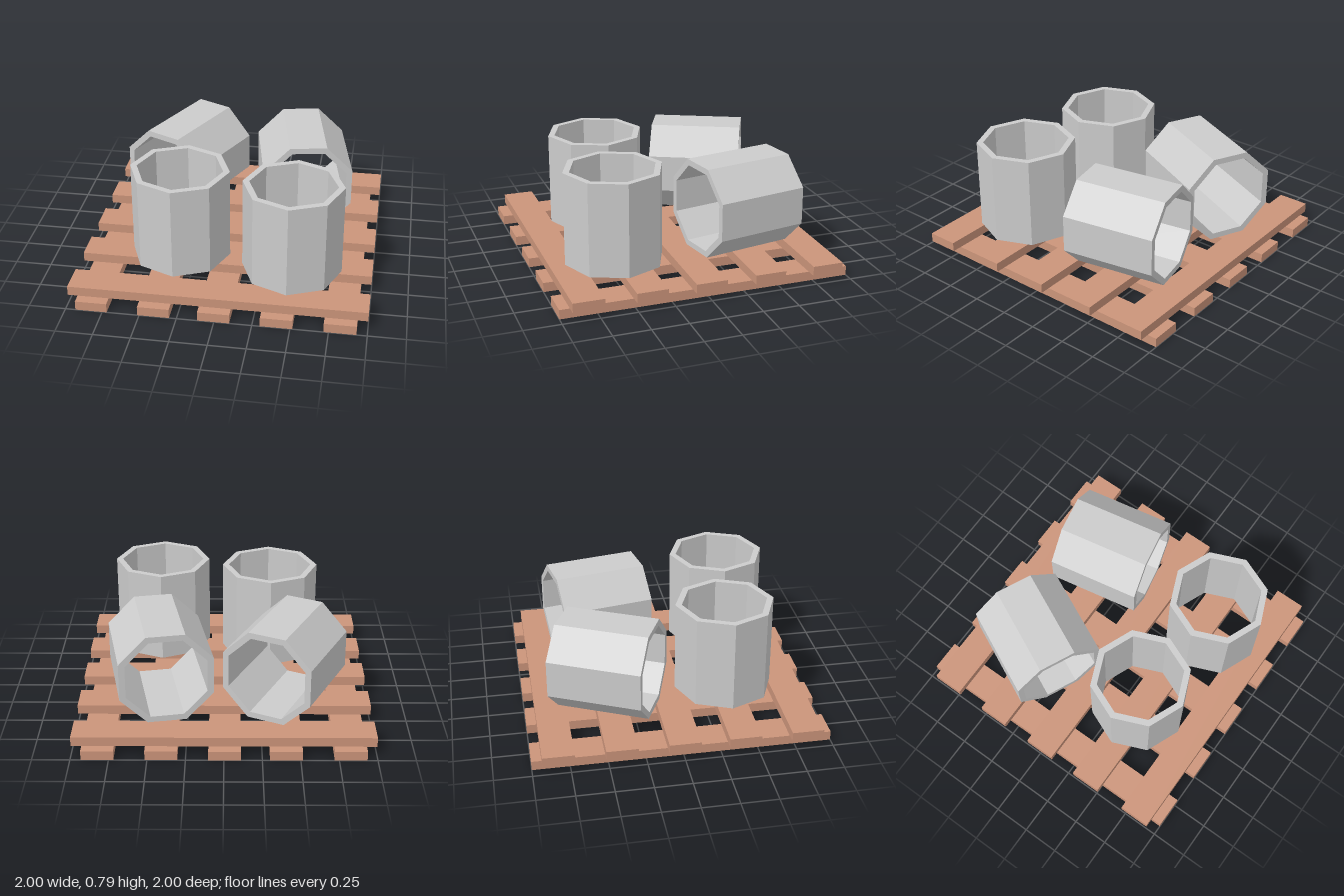
import * as THREE from 'three';

const RADIUS = 0.34, INNER = 0.295, LENGTH = 0.645;

// Regular octagon outline, starting at the given angle
function octagon(radius, start) {
  return Array.from({ length: 8 }, (_, i) => {
    const a = start + (i * Math.PI) / 4;
    return new THREE.Vector2(Math.cos(a) * radius, Math.sin(a) * radius);
  });
}

// Open octagonal tube, centred on the origin with its axis along z
function tubeGeometry(start) {
  const shape = new THREE.Shape(octagon(RADIUS, start));
  shape.holes.push(new THREE.Path(octagon(INNER, start)));
  const geometry = new THREE.ExtrudeGeometry(shape, { depth: LENGTH, bevelEnabled: false });
  return geometry.translate(0, 0, -LENGTH / 2);
}

export function createModel() {
  const model = new THREE.Group();
  const wood = new THREE.MeshStandardMaterial({ color: 0xcb947a, flatShading: true });
  const concrete = new THREE.MeshStandardMaterial({ color: 0xcccccc, flatShading: true });

  function add(parent, name, geometry, material, x, y, z) {
    const mesh = new THREE.Mesh(geometry, material);
    mesh.name = name;
    mesh.position.set(x, y, z);
    parent.add(mesh);
    return mesh;
  }

  // Pallet: five runners along z, five deck boards across them
  const pallet = new THREE.Group();
  pallet.name = 'pallet';
  model.add(pallet);
  const runner = new THREE.BoxGeometry(0.213, 0.065, 2);
  const board = new THREE.BoxGeometry(2, 0.065, 0.213);
  [-0.826, -0.406, -0.005, 0.409, 0.824].forEach((x, i) =>
    add(pallet, `runner${i + 1}`, runner, wood, x, 0.0325, 0));
  [-0.828, -0.414, 0, 0.403, 0.824].forEach((z, i) =>
    add(pallet, `deckBoard${i + 1}`, board, wood, 0, 0.0975, z));

  // Standing rings, corners pointing along x and z
  const standing = tubeGeometry(0).rotateX(-Math.PI / 2);
  add(model, 'standingRingRight', standing, concrete, -0.326, 0.467, 0.39);
  add(model, 'standingRingLeft', standing, concrete, 0.453, 0.467, 0.493);

  // Lying rings, resting on a flat side
  const lying = tubeGeometry(Math.PI / 8);
  add(model, 'lyingRingRight', lying, concrete, -0.413, 0.443, -0.425).rotation.y = -0.443;
  add(model, 'lyingRingLeft', lying, concrete, 0.436, 0.443, -0.4).rotation.y = 0.186;

  return model;
}
